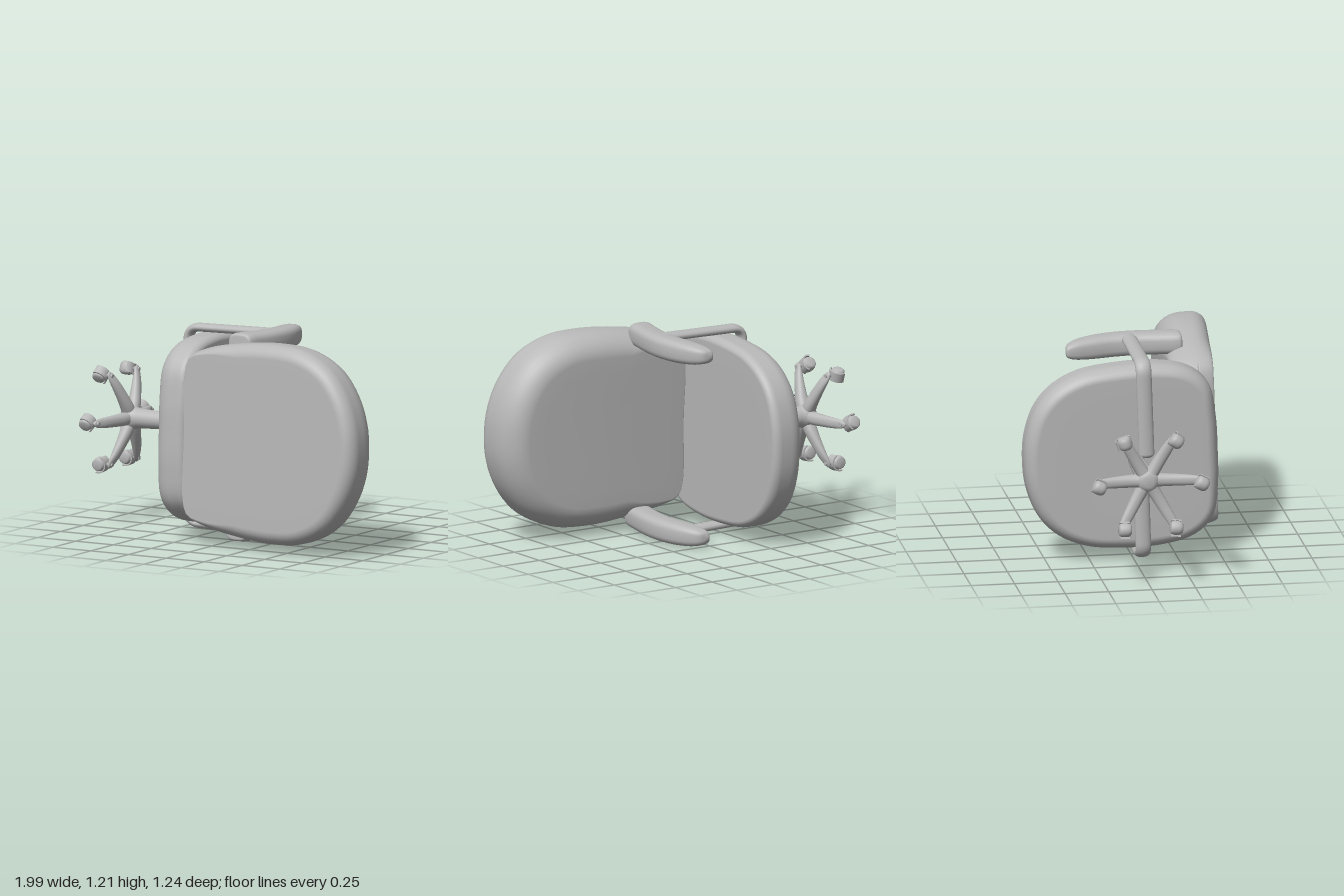
import * as THREE from 'three';

const MID = 0.605; // height of the chair's plane of symmetry
const grey = new THREE.MeshStandardMaterial({ color: 0xb8b8b8 });
grey.name = 'grey';

function add(parent, name, geometry) {
  const mesh = new THREE.Mesh(geometry, grey);
  mesh.name = name;
  parent.add(mesh);
  return mesh;
}

// Closed smooth skin through equal-length rings, ends closed to their centres
function loft(rings) {
  const n = rings[0].length, pos = [], idx = [];
  rings.forEach(r => r.forEach(p => pos.push(p.x, p.y, p.z)));
  for (let i = 0; i < rings.length - 1; i++) {
    for (let j = 0; j < n; j++) {
      const a = i * n + j, b = i * n + (j + 1) % n;
      idx.push(a, b, a + n, b, b + n, a + n);
    }
  }
  [0, rings.length - 1].forEach((k, end) => {
    const c = new THREE.Vector3();
    rings[k].forEach(p => c.addScaledVector(p, 1 / n));
    const ci = pos.length / 3;
    pos.push(c.x, c.y, c.z);
    for (let j = 0; j < n; j++) {
      const a = k * n + j, b = k * n + (j + 1) % n;
      if (end) idx.push(a, b, ci); else idx.push(b, a, ci);
    }
  });
  // Turn the faces outward if the signed volume is negative
  let volume = 0;
  const v = i => new THREE.Vector3().fromArray(pos, i * 3);
  for (let i = 0; i < idx.length; i += 3) volume += v(idx[i]).dot(v(idx[i + 1]).cross(v(idx[i + 2])));
  if (volume < 0) idx.reverse();
  const g = new THREE.BufferGeometry();
  g.setAttribute('position', new THREE.Float32BufferAttribute(pos, 3));
  g.setIndex(idx);
  g.computeVertexNormals();
  return g;
}

// Padded slab: mirrored outline (a, b), faces at lo(a) and hi(a), rounded edges
function cushion({ half, centre, lo, hi, loEdge, hiEdge, weight, place }) {
  const pts = half.map(([a, b]) => new THREE.Vector3(a, b, 0));
  const mirrored = half.slice(1, -1).reverse().map(([a, b]) => new THREE.Vector3(a, -b, 0));
  const outline = new THREE.CatmullRomCurve3([...pts, ...mirrored], true, 'centripetal').getSpacedPoints(96).slice(0, 96);
  const rows = [];
  const edge = ([r, d], face) => {
    const list = [{ inset: r, depth: 0, scale: 0.4 }, { inset: r, depth: 0, scale: 0.8 }];
    for (let i = 0; i <= 8; i++) {
      const t = i / 8 * Math.PI / 2;
      list.push({ inset: r * (1 - Math.sin(t)), depth: d * (1 - Math.cos(t)), scale: 1 });
    }
    return list.map(o => ({ ...o, face }));
  };
  rows.push(...edge(loEdge, 0), ...edge(hiEdge, 1).reverse());
  return loft(rows.map(({ inset, depth, scale, face }) => outline.map(p => {
    const da = p.x - centre, len = Math.hypot(da, p.y);
    const k = scale * (1 - inset * weight(p.x) / len);
    const a = centre + da * k, b = p.y * k;
    return place(a, b, face ? hi(a) - depth : lo(a) + depth);
  })));
}

// Rounded bar along z from stations [z, xLow, xHigh, halfWidth]
function bar(stations, power) {
  const pw = c => Math.sign(c) * Math.abs(c) ** power;
  const track = k => new THREE.CatmullRomCurve3(stations.map(s => new THREE.Vector3(s[0], s[k], 0)), false, 'centripetal');
  const tracks = [1, 2, 3].map(track);
  const rings = [];
  const steps = (stations.length - 1) * 4;
  for (let i = 0; i <= steps; i++) {
    const [lo, hi, w] = tracks.map(t => t.getPoint(i / steps));
    const ring = [];
    for (let j = 0; j < 28; j++) {
      const t = j / 28 * Math.PI * 2;
      const c = pw(Math.cos(t)), s = pw(Math.sin(t));
      ring.push(new THREE.Vector3((lo.y + hi.y) / 2 + (hi.y - lo.y) / 2 * c, w.y * s, (lo.x + hi.x) / 2));
    }
    rings.push(ring);
  }
  return loft(rings);
}

function caster() {
  const g = new THREE.Group();
  g.name = 'caster';
  // Barrel wheel with softened rims
  const profile = [[0, -0.036], [0.026, -0.036], [0.036, -0.028], [0.04, -0.012], [0.04, 0.012], [0.036, 0.028], [0.026, 0.036], [0, 0.036]];
  add(g, 'wheel', new THREE.LatheGeometry(profile.map(p => new THREE.Vector2(...p)), 24).rotateX(Math.PI / 2));
  // Curved hood over the wheel
  const s = new THREE.Shape();
  s.absarc(0, 0, 0.05, -1.1, 1.9, false);
  s.absarc(0, 0, 0.042, 1.9, -1.1, true);
  add(g, 'hood', new THREE.ExtrudeGeometry(s, { depth: 0.056, bevelEnabled: false, curveSegments: 16 }).translate(0, 0, -0.028));
  add(g, 'stem', new THREE.CylinderGeometry(0.011, 0.011, 0.05, 12).rotateZ(Math.PI / 2).translate(0.06, 0, 0));
  return g;
}

export function createModel() {
  const model = new THREE.Group();
  model.name = 'lyingOfficeChair';

  // Seat, back and arms swivel slightly on the column
  const upper = new THREE.Group();
  upper.name = 'upperChair';
  upper.position.y = MID;
  upper.rotation.x = -0.033;
  model.add(upper);

  add(upper, 'seat', cushion({
    half: [[-0.625, 0], [-0.61, 0.16], [-0.55, 0.32], [-0.45, 0.43], [-0.3, 0.505], [-0.1, 0.535],
      [0.15, 0.535], [0.34, 0.49], [0.45, 0.39], [0.485, 0.2], [0.49, 0]],
    centre: 0,
    lo: a => -0.398 + 0.02 * Math.max(0, a),
    hi: () => -0.195,
    loEdge: [0.07, 0.09], hiEdge: [0.04, 0.05],
    weight: () => 1,
    place: (a, b, d) => new THREE.Vector3(d, b, a),
  }));

  add(upper, 'backrest', cushion({
    half: [[-0.2, 0], [-0.2, 0.36], [-0.17, 0.46], [-0.08, 0.505], [0.1, 0.545], [0.4, 0.572],
      [0.62, 0.55], [0.8, 0.46], [0.92, 0.31], [0.98, 0.15], [0.995, 0]],
    centre: 0.4,
    lo: a => 0.265 + 0.05 * Math.max(0, a) ** 2,
    hi: a => 0.52 + 0.105 * a,
    loEdge: [0.14, 0.16], hiEdge: [0.08, 0.09],
    weight: a => THREE.MathUtils.clamp(0.2 + (a + 0.2) * 2.5, 0.2, 1),
    place: (a, b, d) => new THREE.Vector3(a, b, d),
  }));

  const armStations = [[-0.31, 0.035, 0.05, 0.008], [-0.3, 0.022, 0.09, 0.032], [-0.26, 0.02, 0.13, 0.05],
    [-0.16, 0.035, 0.178, 0.062], [-0.03, 0.055, 0.205, 0.065], [0.1, 0.055, 0.205, 0.065],
    [0.24, 0.03, 0.185, 0.064], [0.345, 0.012, 0.162, 0.062], [0.358, 0.02, 0.152, 0.054], [0.36, 0.04, 0.13, 0.035]];
  for (const side of [1, -1]) {
    // Flattened support tube from under the seat up to the armrest
    const path = new THREE.CurvePath();
    const P = (x, y) => new THREE.Vector3(x, y * side, 0);
    path.add(new THREE.LineCurve3(P(-0.425, 0.035), P(-0.422, 0.49)));
    path.add(new THREE.QuadraticBezierCurve3(P(-0.422, 0.49), P(-0.422, 0.562), P(-0.35, 0.564)));
    path.add(new THREE.LineCurve3(P(-0.35, 0.564), P(0.1, 0.574)));
    const support = new THREE.Group();
    support.name = 'armSupport';
    support.position.z = 0.045 + 0.018 * side;
    support.scale.z = 1.8;
    upper.add(support);
    add(support, 'supportTube', new THREE.TubeGeometry(path, 80, 0.025, 16));
    add(support, 'innerEnd', new THREE.SphereGeometry(0.025, 16, 12)).position.copy(P(-0.425, 0.035));
    add(support, 'outerEnd', new THREE.SphereGeometry(0.025, 16, 12)).position.copy(P(0.1, 0.574));

    add(upper, 'armrest', bar(armStations, 0.65)).position.y = 0.532 * side;
  }

  // Tapered column flaring into the hub
  const column = [[0, -0.885], [0.03, -0.885], [0.055, -0.875], [0.07, -0.85], [0.072, -0.82], [0.062, -0.795],
    [0.056, -0.77], [0.05, -0.6], [0.043, -0.42], [0, -0.39]];
  add(model, 'column', new THREE.LatheGeometry(column.map(p => new THREE.Vector2(...p)), 32).rotateZ(-Math.PI / 2))
    .position.y = MID;

  // Six curved legs, each on a caster
  const legGeometry = bar([[0, -0.88, -0.795, 0.04], [0.08, -0.875, -0.8, 0.037], [0.16, -0.878, -0.82, 0.034],
    [0.24, -0.887, -0.845, 0.03], [0.29, -0.892, -0.868, 0.024], [0.312, -0.892, -0.878, 0.013], [0.318, -0.89, -0.884, 0.004]], 0.9);
  const headings = [0.5, 2.2, 1.1, 3.6, 0.2, 1.7];
  headings.forEach((heading, i) => {
    const arm = new THREE.Group();
    arm.name = 'baseArm';
    arm.position.y = MID;
    arm.rotation.x = i * Math.PI / 3;
    add(arm, 'leg', legGeometry);
    const wheel = caster();
    wheel.position.set(-0.95, 0, 0.295);
    wheel.rotation.x = heading;
    arm.add(wheel);
    model.add(arm);
  });

  return model;
}
